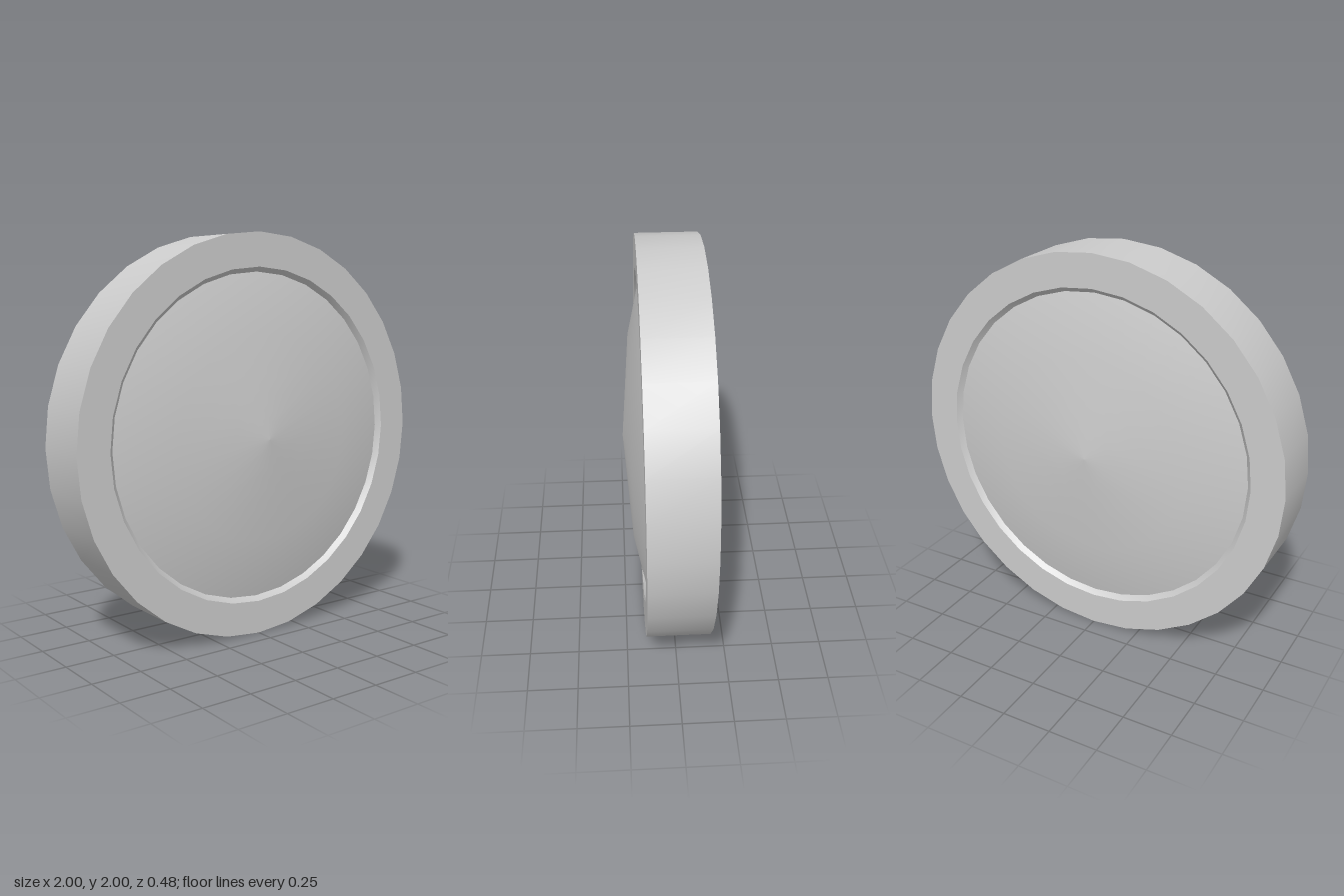
import * as THREE from 'three';
import { toCreasedNormals } from 'three/addons/utils/BufferGeometryUtils.js';

const SIDES = 32;

// Revolves a [radius, z] profile around the z axis
function revolve(profile) {
  const points = profile.map(([r, z]) => new THREE.Vector2(r, z));
  return new THREE.LatheGeometry(points, SIDES).rotateX(Math.PI / 2);
}

export function createModel() {
  const group = new THREE.Group();
  const material = new THREE.MeshStandardMaterial({ color: 0xcccccc });

  // Flat-faced rim with a small inner bevel on each side
  const rimProfile = [
    [0.81, -0.131], [0.833, -0.155], [1, -0.155],
    [1, 0.155], [0.833, 0.155], [0.81, 0.131],
  ];
  const rim = new THREE.Mesh(toCreasedNormals(revolve(rimProfile), 0.5), material);
  rim.name = 'rim';
  group.add(rim);

  // Shallow smooth domes on the front and back
  const domeGeometry = revolve([[0.81, 0.131], [0.51, 0.2], [0, 0.24]]);
  for (const [name, turn] of [['frontDome', 0], ['backDome', Math.PI]]) {
    const dome = new THREE.Mesh(domeGeometry, material);
    dome.name = name;
    dome.rotation.y = turn;
    group.add(dome);
  }

  // Stand the disc on the ground
  group.children.forEach((part) => { part.position.y = 1; });
  group.name = 'disc';
  return group;
}
